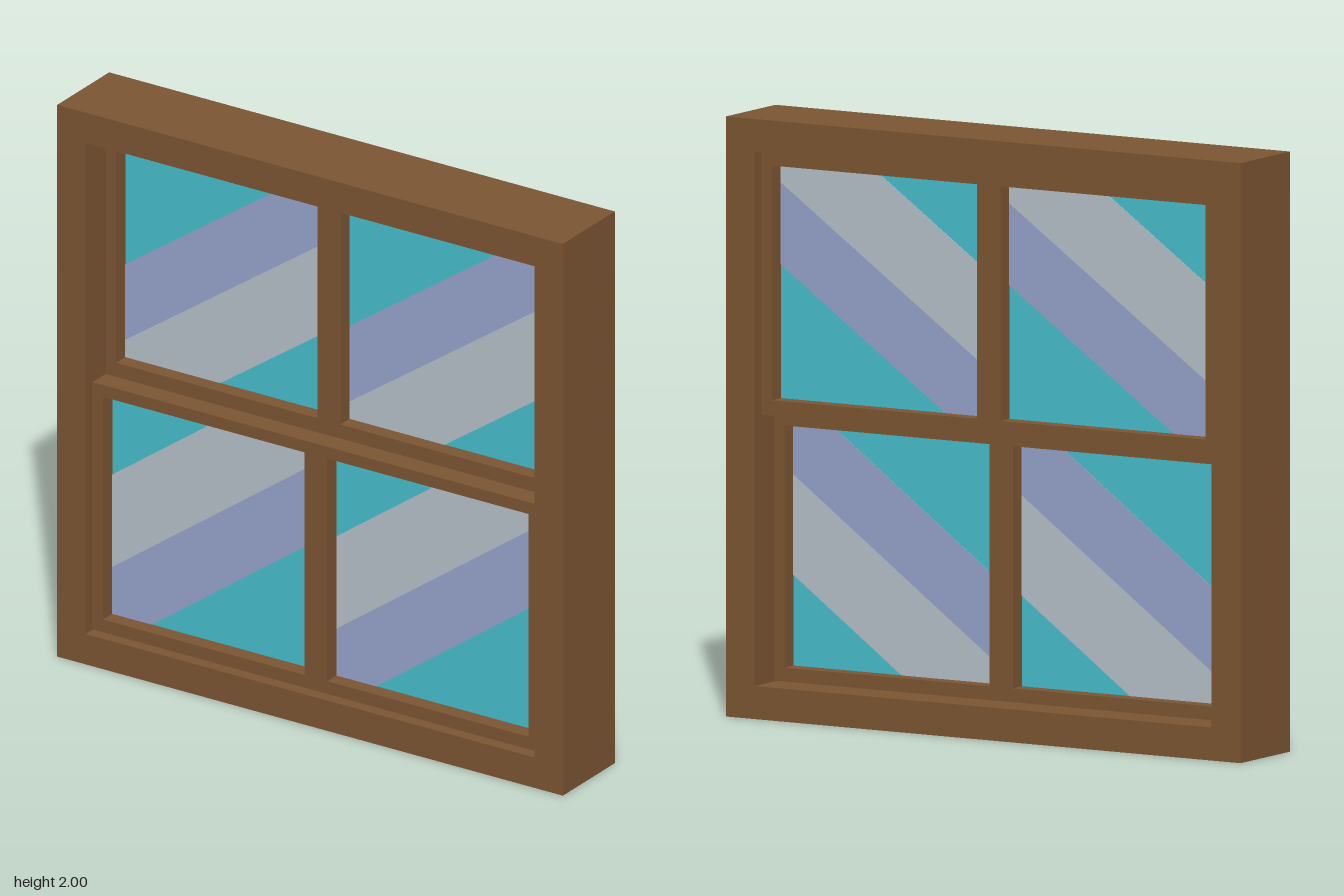
import * as THREE from 'three';

const paint = (name, color) => Object.assign(new THREE.MeshStandardMaterial({ color }), { name });

// Corners of a rectangle [x0, x1, y0, y1]
const corners = ([x0, x1, y0, y1]) =>
  [[x0, y0], [x1, y0], [x1, y1], [x0, y1]].map(([x, y]) => new THREE.Vector2(x, y));

// Keep the part of a polygon where side(p) >= 0
function clip(points, side) {
  const out = [];
  points.forEach((p, i) => {
    const q = points[(i + 1) % points.length];
    const a = side(p), b = side(q);
    if (a >= 0) out.push(p);
    if (a * b < 0) out.push(p.clone().lerp(q, a / (a - b)));
  });
  return out;
}

function addMesh(parent, name, geometry, material) {
  const mesh = new THREE.Mesh(geometry, material);
  mesh.name = name;
  parent.add(mesh);
  return mesh;
}

// Flat board with rectangular openings, centred on z
function board(outer, openings, depth, z) {
  const shape = new THREE.Shape(corners(outer));
  shape.holes = openings.map((o) => new THREE.Path(corners(o).reverse()));
  return new THREE.ExtrudeGeometry(shape, { depth, bevelEnabled: false }).translate(0, 0, z - depth / 2);
}

export function createModel() {
  const wood = paint('brown wood', 0x7b5532);
  const glass = paint('teal glass', 0x46bdca);
  const lilac = paint('lilac reflection', 0x96a3ca);
  const silver = paint('silver reflection', 0xb4c0c8);

  const GLASS_DEPTH = 0.05, PLATE = 0.002, SLOPE = 0.71;
  // Stripe edges as heights at the pane's left side, in fractions of the pane
  const lilacAbove = [[lilac, 0.08, 0.43], [silver, -0.335, 0.08]];
  const silverAbove = [[silver, 0.21, 0.625], [lilac, -0.14, 0.21]];

  // Diagonal reflection stripes on one face of a pane
  function addStripes(parent, [x0, x1, y0, y1], stripes, z) {
    for (const [material, low, high] of stripes) {
      let points = corners([0, 1, 0, 1]);
      points = clip(points, (p) => p.y - SLOPE * p.x - low);
      points = clip(points, (p) => high - p.y + SLOPE * p.x);
      const shape = new THREE.Shape(points.map((p) =>
        new THREE.Vector2(x0 + p.x * (x1 - x0), y0 + p.y * (y1 - y0))));
      const geometry = new THREE.ExtrudeGeometry(shape, { depth: PLATE, bevelEnabled: false });
      addMesh(parent, material.name, geometry.translate(0, 0, z - PLATE / 2), material);
    }
  }

  // Sliding sash: wooden border with a mullion and two striped panes
  function addSash(parent, name, [bottom, top], [paneBottom, paneTop], z, front, back) {
    const sash = new THREE.Group();
    sash.name = name;
    const panes = [[-0.842, -0.045], [0.045, 0.842]].map((x) => [...x, paneBottom, paneTop]);
    addMesh(sash, 'sashFrame', board([-0.883, 0.883, bottom, top], panes, 0.163, z), wood);
    for (const pane of panes) {
      addMesh(sash, 'pane', board(pane, [], GLASS_DEPTH, z), glass);
      addStripes(sash, pane, front, z + GLASS_DEPTH / 2 + PLATE / 2);
      addStripes(sash, pane, back, z - GLASS_DEPTH / 2 - PLATE / 2);
    }
    parent.add(sash);
  }

  const model = new THREE.Group();
  model.name = 'window';
  addMesh(model, 'outerFrame', board([-1, 1, 0, 2], [[-0.888, 0.888, 0.11, 1.891]], 0.31, 0), wood);

  // The lower sash sits forward, the upper one back
  addSash(model, 'lowerSash', [0.115, 1.011], [0.161, 0.968], 0.039, silverAbove, lilacAbove);
  addSash(model, 'upperSash', [1.011, 1.886], [1.062, 1.844], -0.039, lilacAbove, silverAbove);
  return model;
}
